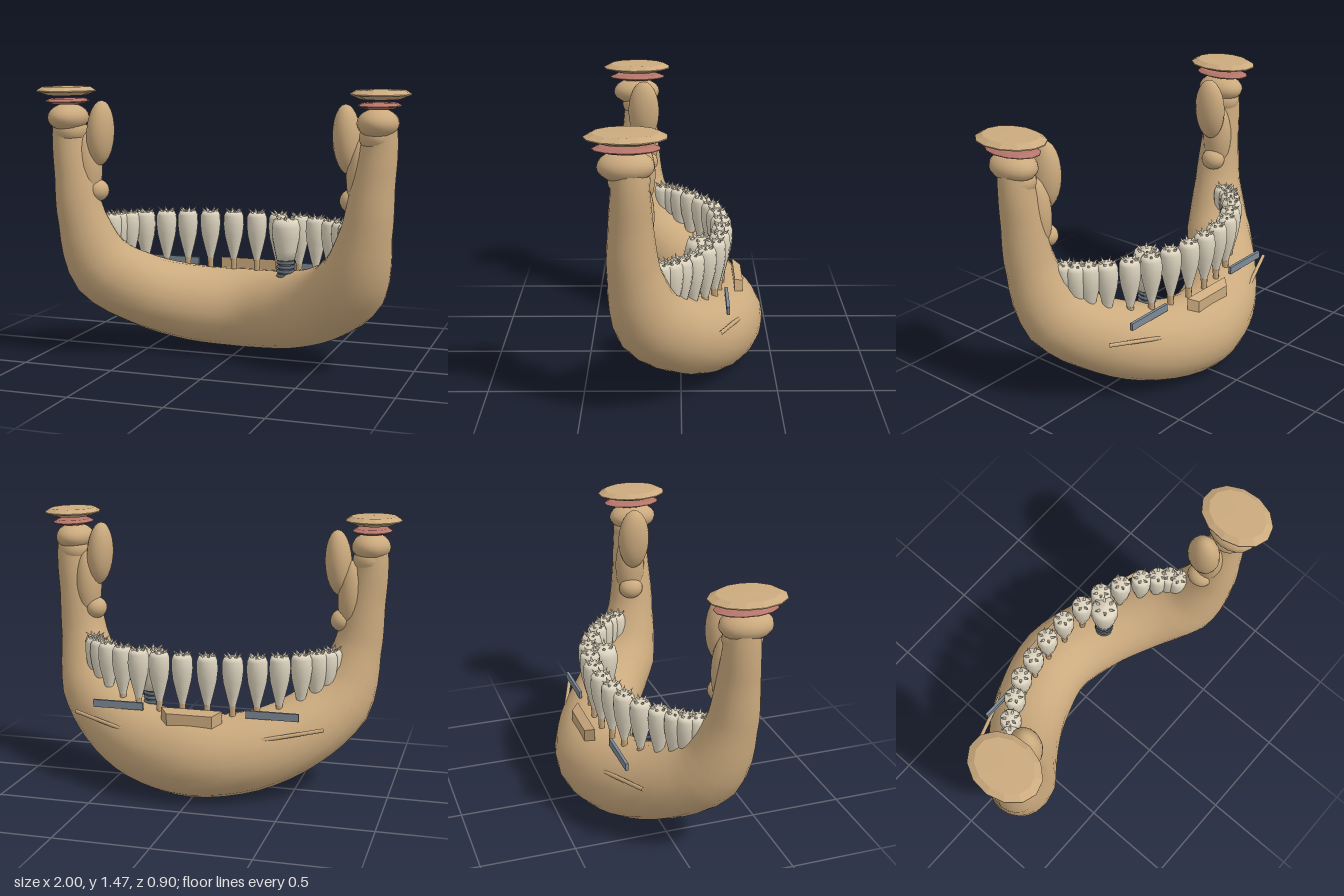
import * as THREE from 'three';

const mat = (name, color) => {
  const m = new THREE.MeshStandardMaterial({ color });
  m.name = name;
  return m;
};

export function createModel() {
  const root = new THREE.Group();
  root.name = 'lowerJaw';
  const bone = mat('bone', 0xcbaa7e);
  const enamel = mat('enamel', 0xddd4bf);
  const cartilage = mat('cartilage', 0xb5766a);
  const steel = mat('steel', 0x7d8a96);
  const titanium = mat('titanium', 0x66707a);

  const add = (name, geo, material, x = 0, y = 0, z = 0, parent = root) => {
    const m = new THREE.Mesh(geo, material);
    m.name = name;
    m.position.set(x, y, z);
    parent.add(m);
    return m;
  };
  const lathe = (pts, seg) => new THREE.LatheGeometry(pts.map(p => new THREE.Vector2(...p)), seg);
  const faceted = (geo) => {
    const g = geo.toNonIndexed();
    g.computeVertexNormals();
    return g;
  };
  const blob = (rx, ry, rz) => new THREE.SphereGeometry(1, 18, 12).scale(rx, ry, rz);

  // Jaw body and both rami: one round sweep, x y z radius from chin to condyle
  const half = [
    [0.28, 0.245, -0.155, 0.215], [0.52, 0.33, -0.01, 0.2], [0.7, 0.48, 0.15, 0.188],
    [0.785, 0.75, 0.225, 0.132], [0.82, 1.0, 0.237, 0.108], [0.845, 1.18, 0.237, 0.093],
    [0.845, 1.28, 0.24, 0.088],
  ];
  const stations = [
    ...half.map(([x, y, z, r]) => [-x, y, z, r]).reverse(),
    [0, 0.22, -0.228, 0.221],
    ...half,
  ];
  const curve = new THREE.CatmullRomCurve3(stations.map(s => new THREE.Vector3(s[0], s[1], s[2])));
  const steps = 56, sides = 20, pos = [], idx = [];
  const zAxis = new THREE.Vector3(0, 0, 1);
  for (let i = 0; i <= steps; i++) {
    const t = i / steps, f = t * (stations.length - 1);
    const k = Math.min(Math.floor(f), stations.length - 2);
    const r = THREE.MathUtils.lerp(stations[k][3], stations[k + 1][3], f - k);
    const c = curve.getPoint(t), T = curve.getTangent(t);
    const A = zAxis.clone().addScaledVector(T, -T.z).normalize();
    const B = T.clone().cross(A);
    for (let j = 0; j < sides; j++) {
      const a = j / sides * Math.PI * 2;
      const p = c.clone().addScaledVector(A, r * Math.cos(a)).addScaledVector(B, r * Math.sin(a));
      pos.push(p.x, p.y, p.z);
      if (i < steps) {
        const n = (j + 1) % sides, o = i * sides;
        idx.push(o + j, o + n, o + sides + j, o + n, o + sides + n, o + sides + j);
      }
    }
  }
  const jaw = new THREE.BufferGeometry();
  jaw.setAttribute('position', new THREE.Float32BufferAttribute(pos, 3));
  jaw.setIndex(idx);
  jaw.computeVertexNormals();
  add('jawBody', jaw, bone);

  // Joint ends, discs, fixing plates and nerve rods on both sides
  const lens = (h) => faceted(lathe([[0, -h], [0.65, -h * 0.85], [1, -h * 0.1], [1, h * 0.1], [0.8, h * 0.85], [0, h]], 13));
  for (const s of [-1, 1]) {
    add('condyle', blob(0.104, 0.075, 0.135), bone, s * 0.84, 1.3, 0.255);
    add('condyleNeck', blob(0.09, 0.08, 0.1), bone, s * 0.835, 1.23, 0.24);
    const cor = add('coronoid', blob(0.072, 0.175, 0.09), bone, s * 0.675, 1.215, 0.21);
    cor.rotation.z = s * 0.06;
    add('coronoidRoot', blob(0.075, 0.2, 0.085), bone, s * 0.75, 1.03, 0.21);
    add('ramusBump', blob(0.06, 0.06, 0.07), bone, s * 0.7, 0.905, 0.2);
    add('jointDisc', lens(0.018).scale(0.106, 1, 0.16), cartilage, s * 0.845, 1.385, 0.25);
    add('jointSocket', lens(0.027).scale(0.15, 1, 0.195), bone, s * 0.85, 1.44, 0.252);
    add('fixingPlate', new THREE.BoxGeometry(0.28, 0.04, 0.016), steel, s * 0.42, 0.47, -0.237);
    const rod = new THREE.LineCurve3(
      new THREE.Vector3(s * 0.68, 0.4, -0.19), new THREE.Vector3(s * 0.38, 0.355, -0.3));
    add('nerveRod', new THREE.TubeGeometry(rod, 1, 0.011, 8), bone);
    add('nerveOpening', new THREE.ConeGeometry(0.022, 0.06, 6), bone, s * 0.5, 0.385, -0.212);
  }

  // Chin block, narrower at its rear edge
  const chin = new THREE.BoxGeometry(0.33, 0.07, 0.045).toNonIndexed();
  const cp = chin.attributes.position;
  for (let i = 0; i < cp.count; i++) {
    if (cp.getZ(i) < 0) {
      cp.setX(i, cp.getX(i) * 0.74);
      cp.setY(i, cp.getY(i) - 0.022);
    }
  }
  chin.computeVertexNormals();
  add('chinBlock', chin, bone, 0, 0.455, -0.31);

  // Teeth: tapered crown, small cusps and a bony root tip
  const crown = lathe([[0.013, 0.465], [0.018, 0.5], [0.034, 0.56], [0.051, 0.63], [0.058, 0.69],
    [0.056, 0.74], [0.046, 0.762], [0, 0.765]], 12);
  const cusp = new THREE.ConeGeometry(0.013, 0.045, 4);
  const addCusps = (parent, r, y, turn) => {
    for (let i = 0; i < 6; i++) {
      const a = i / 6 * Math.PI * 2 + turn;
      const c = add('cusp', cusp, enamel, Math.cos(a) * r, y, Math.sin(a) * r, parent);
      c.rotation.set(Math.sin(a) * 0.75, 0, -Math.cos(a) * 0.75);
    }
  };
  const arch = [[0.068, -0.22], [0.2, -0.202], [0.325, -0.175], [0.433, -0.123],
    [0.535, -0.06], [0.605, 0.0], [0.65, 0.045], [0.67, 0.095]];
  for (const s of [-1, 1]) {
    arch.forEach(([x, z], i) => {
      const tooth = new THREE.Group();
      tooth.name = 'tooth';
      tooth.position.set(s * x, 0, z);
      root.add(tooth);
      add('crown', crown, enamel, 0, 0, 0, tooth);
      add('rootTip', new THREE.CylinderGeometry(0.019, 0.015, 0.07, 8), bone, 0, 0.465, 0, tooth);
      addCusps(tooth, 0.036, 0.768, i * 0.7);
    });
  }

  // Implant: threaded screw with its own crown
  const implant = new THREE.Group();
  implant.name = 'implant';
  implant.position.set(0.27, 0, -0.1);
  root.add(implant);
  add('implantCrown', lathe([[0, 0.53], [0.05, 0.53], [0.06, 0.58], [0.074, 0.65], [0.076, 0.71],
    [0.065, 0.75], [0, 0.76]], 14), enamel, 0, 0, 0, implant);
  add('implantScrew', new THREE.CylinderGeometry(0.042, 0.036, 0.16, 14), titanium, 0, 0.46, 0, implant);
  for (let i = 0; i < 5; i++) {
    const ring = add('thread', new THREE.TorusGeometry(0.042, 0.009, 6, 16), titanium, 0, 0.42 + i * 0.024, 0, implant);
    ring.rotation.x = Math.PI / 2;
  }
  addCusps(implant, 0.048, 0.762, 0.3);

  return root;
}
